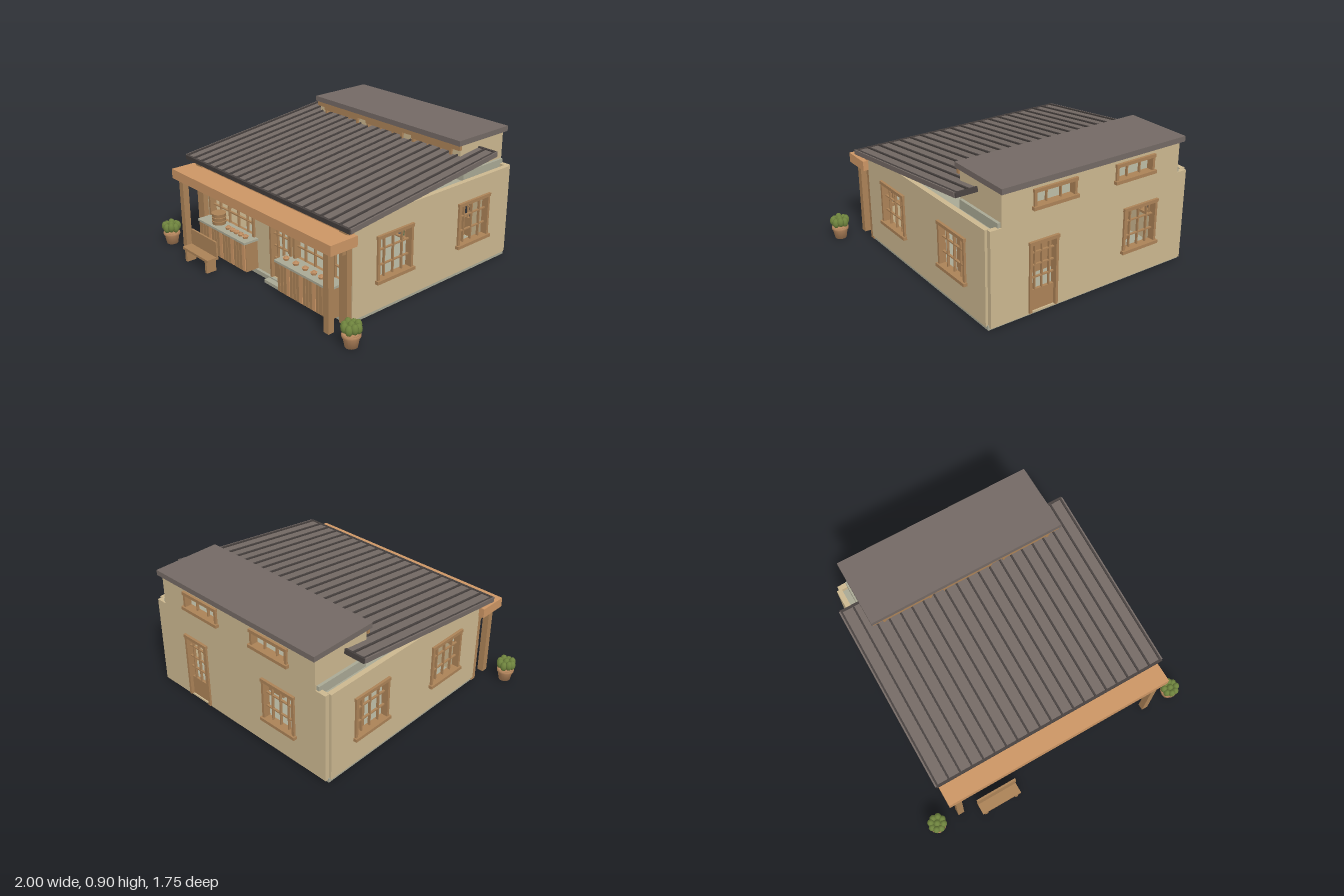
import * as THREE from 'three';

const mat = (name, color) => Object.assign(new THREE.MeshStandardMaterial({ color }), { name });
const M = {
  plaster: mat('plaster', 0xcbb78f),
  stone: mat('stone', 0xa9a894),
  wood: mat('wood', 0xab8257),
  beam: mat('lightWood', 0xcb9564),
  roof: mat('roofMetal', 0x736964),
  seam: mat('roofSeam', 0x47413f),
  clay: mat('terracotta', 0xba8a60),
  leaf: mat('leaf', 0x6f843e),
  green: mat('greenGlass', 0x5f7350),
  slate: mat('slateGlass', 0x5a6068),
};

function add(parent, name, geometry, material) {
  const mesh = new THREE.Mesh(geometry, material);
  mesh.name = name;
  parent.add(mesh);
  return mesh;
}

// Box given by its two extremes on each axis
function box(parent, name, material, x0, x1, y0, y1, z0, z1) {
  const mesh = add(parent, name, new THREE.BoxGeometry(x1 - x0, y1 - y0, z1 - z0), material);
  mesh.position.set((x0 + x1) / 2, (y0 + y1) / 2, (z0 + z1) / 2);
  return mesh;
}

function group(parent, name, x = 0, y = 0, z = 0) {
  const g = new THREE.Group();
  g.name = name;
  g.position.set(x, y, z);
  parent.add(g);
  return g;
}

// Frame, bars and sill or door panel around an opening; outer wall face is z = 0
function joinery(parent, { u0, u1, y0, y1, cols, rows, door }) {
  const g = group(parent, door ? 'door' : 'window');
  const f = 0.018;
  for (const [a, b] of [[u0, u0 + f], [u1 - f, u1]]) box(g, 'jamb', M.wood, a, b, y0, y1, -0.035, 0.014);
  box(g, 'head', M.wood, u0 - 0.004, u1 + 0.004, y1 - f, y1 + 0.004, -0.035, 0.018);
  if (door) box(g, 'doorPanel', M.wood, u0 + f, u1 - f, y0, y0 + 0.14, -0.03, -0.01);
  else box(g, 'sill', M.wood, u0 - 0.01, u1 + 0.01, y0 - 0.004, y0 + f, -0.035, 0.026);
  const low = door ? y0 + 0.14 : y0;
  for (let i = 1; i < cols; i++) {
    const u = u0 + (u1 - u0) * i / cols;
    box(g, 'verticalBar', M.wood, u - 0.004, u + 0.004, low, y1, -0.025, -0.008);
  }
  for (let i = 1; i < rows; i++) {
    const y = low + (y1 - low) * i / rows;
    box(g, 'crossBar', M.wood, u0, u1, y - 0.004, y + 0.004, -0.024, -0.009);
  }
}

// Plaster wall with openings cut out and fitted
function wall(parent, name, u0, u1, y0, y1, openings) {
  const g = group(parent, name);
  const rect = (C, a, b, c, d) => new C([[a, c], [b, c], [b, d], [a, d]].map(p => new THREE.Vector2(...p)));
  const shape = rect(THREE.Shape, u0, u1, y0, y1);
  for (const o of openings) {
    shape.holes.push(rect(THREE.Path, o.u0, o.u1, o.y0, o.y1));
    joinery(g, o);
  }
  const geo = new THREE.ExtrudeGeometry(shape, { depth: 0.035, bevelEnabled: false });
  add(g, 'plasterWall', geo.translate(0, 0, -0.035), M.plaster);
  return g;
}

function buildWalls(b) {
  box(b, 'baseSlab', M.stone, -0.765, 0.765, 0, 0.03, -0.825, 0.62);
  box(b, 'ceiling', M.stone, -0.745, 0.745, 0.6, 0.62, -0.82, 0.57);
  wall(b, 'frontWall', -0.765, 0.765, 0.02, 0.64, [
    { u0: -0.67, u1: -0.16, y0: 0.23, y1: 0.53, cols: 5, rows: 3 },
    { u0: 0.006, u1: 0.225, y0: 0.031, y1: 0.51, cols: 4, rows: 4, door: true },
    { u0: 0.245, u1: 0.7, y0: 0.23, y1: 0.53, cols: 5, rows: 3 },
  ]).position.z = 0.6;
  const back = wall(b, 'backWall', -0.758, 0.758, 0.02, 0.65, [
    { u0: -0.49, u1: -0.28, y0: 0.031, y1: 0.5, cols: 4, rows: 4, door: true },
    { u0: 0.235, u1: 0.51, y0: 0.21, y1: 0.515, cols: 4, rows: 3 },
  ]);
  back.rotation.y = Math.PI;
  back.position.z = -0.845;
  for (const s of [1, -1]) {
    // Along each side wall the local axis runs opposite ways
    const flip = (a, c) => (s > 0 ? [-c, -a] : [a, c]);
    const openings = [[0.105, 0.405], [-0.615, -0.315]].map(([a, c]) => {
      const [u0, u1] = flip(a, c);
      return { u0, u1, y0: 0.21, y1: 0.515, cols: 4, rows: 3 };
    });
    const side = wall(b, s > 0 ? 'leftWall' : 'rightWall', ...flip(-0.815, 0.6), 0.025, 0.652, openings);
    side.rotation.y = s * Math.PI / 2;
    side.position.x = s * 0.775;
  }
}

function buildRoof(b) {
  // Sloping seamed roof
  const r = group(b, 'slopingRoof', 0, 0.725, 0.033);
  r.rotation.x = 0.122;
  const L = 0.638, W = 0.828;
  box(r, 'roofSheet', M.roof, -W, W, -0.012, 0.008, -L, L);
  for (let i = 0; i <= 20; i++) {
    const x = -0.82 + i * 0.082;
    box(r, 'standingSeam', M.seam, x - 0.006, x + 0.006, 0.008, 0.018, -L, L);
  }
  for (const s of [-1, 1]) {
    box(r, 'endTrim', M.seam, -W - 0.002, W + 0.002, -0.018, 0.014, s * L - 0.008, s * L + 0.008);
    box(r, 'sideTrim', M.roof, s * W - 0.008, s * W + 0.008, -0.016, 0.016, -L, L);
  }
  // Raised back room under a flat roof
  const c = group(b, 'clerestory');
  box(c, 'clerestoryBase', M.stone, -0.7, 0.7, 0.62, 0.68, -0.835, -0.44);
  const front = [-0.44, 0, 0.44].map(x => (
    { u0: x - 0.175, u1: x + 0.175, y0: 0.69, y1: 0.83, cols: 3, rows: 1 }));
  wall(c, 'clerestoryFront', -0.68, 0.68, 0.65, 0.868, front).position.z = -0.42;
  box(c, 'eaveBeam', M.wood, -0.69, 0.69, 0.832, 0.866, -0.42, -0.4);
  const back = wall(c, 'clerestoryBack', -0.68, 0.68, 0.65, 0.868, [-0.307, 0.307].map(x => (
    { u0: x - 0.155, u1: x + 0.155, y0: 0.71, y1: 0.83, cols: 3, rows: 1 })));
  back.rotation.y = Math.PI;
  back.position.z = -0.845;
  for (const s of [-1, 1]) {
    box(c, 'clerestorySide', M.plaster, s * 0.6625 - 0.0175, s * 0.6625 + 0.0175, 0.65, 0.868, -0.844, -0.42);
  }
  box(c, 'flatRoof', M.roof, -0.699, 0.697, 0.866, 0.902, -0.872, -0.39);
}

function buildPorch(b) {
  box(b, 'porchBeam', M.beam, -0.815, 0.813, 0.527, 0.594, 0.595, 0.8);
  box(b, 'wallPlate', M.beam, -0.77, 0.78, 0.594, 0.622, 0.59, 0.63);
  for (const s of [-1, 1]) {
    const x = s * 0.745;
    box(b, 'porchPost', M.wood, x - 0.022, x + 0.022, 0, 0.53, 0.735, 0.779);
    box(b, 'wallPost', M.wood, s * 0.735 - 0.035, s * 0.735 + 0.035, 0, 0.64, 0.595, 0.637);
    box(b, 'postBracket', M.wood, x - 0.015, x + 0.015, 0.47, 0.53, 0.637, 0.665);
  }
  box(b, 'doorStep', M.stone, 0.0, 0.24, 0, 0.022, 0.6, 0.66);
}

function buildCounter(b, x0, x1, bowls) {
  const g = group(b, 'counter');
  box(g, 'counterBody', M.wood, x0 + 0.012, x1 - 0.012, 0.03, 0.235, 0.6, 0.695);
  box(g, 'counterTop', M.stone, x0, x1, 0.235, 0.25, 0.59, 0.715);
  const n = 16, step = (x1 - x0 - 0.03) / n;
  for (let i = 0; i < n; i++) {
    const x = x0 + 0.015 + i * step;
    box(g, 'slat', i % 4 === 3 ? M.beam : M.wood, x + 0.003, x + step - 0.003, 0.035, 0.23, 0.69, 0.703);
  }
  for (const x of bowls) {
    add(g, 'bowl', new THREE.CylinderGeometry(0.022, 0.016, 0.016, 10), M.beam).position.set(x, 0.258, 0.66);
    add(g, 'bowlLid', new THREE.CylinderGeometry(0.008, 0.016, 0.01, 10), M.clay).position.set(x, 0.271, 0.66);
  }
}

function buildShelves(b, x0, x1) {
  const g = group(b, 'shelves');
  box(g, 'shelfBack', M.wood, x0, x1, 0.03, 0.455, -0.47, -0.46);
  for (const x of [x0, x1]) box(g, 'shelfSide', M.wood, x - 0.008, x + 0.008, 0.03, 0.455, -0.47, -0.39);
  const glass = [M.green, M.slate, M.clay, M.slate, M.green];
  for (const y of [0.06, 0.18, 0.31, 0.445]) {
    box(g, 'shelfBoard', M.wood, x0, x1, y, y + 0.01, -0.47, -0.39);
    if (y > 0.4) continue;
    const n = Math.floor((x1 - x0) / 0.032);
    for (let i = 1; i < n; i++) {
      const h = 0.04 + ((i * 7) % 4) * 0.007;
      add(g, 'bottle', new THREE.CylinderGeometry(0.008, 0.01, h, 8), glass[(i * 3 + Math.floor(i / 4)) % 5])
        .position.set(x0 + i * (x1 - x0) / n, y + 0.01 + h / 2, -0.42);
    }
  }
}

function buildBench(b) {
  const g = group(b, 'bench', -0.478);
  box(g, 'benchSeat', M.wood, -0.147, 0.147, 0.085, 0.102, 0.785, 0.873);
  box(g, 'benchBack', M.wood, -0.147, 0.147, 0.1, 0.212, 0.787, 0.8);
  for (const s of [-1, 1]) box(g, 'benchLeg', M.wood, s * 0.118 - 0.011, s * 0.118 + 0.011, 0, 0.086, 0.795, 0.868);
}

function buildPot(parent, x, z, turn) {
  const g = group(parent, 'pottedPlant', x, 0, z);
  g.rotation.y = turn;
  const profile = [[0, 0], [0.039, 0], [0.052, 0.065], [0.058, 0.067], [0.058, 0.084], [0.05, 0.084], [0.048, 0.076], [0, 0.076]];
  add(g, 'pot', new THREE.LatheGeometry(profile.map(p => new THREE.Vector2(...p)), 16), M.clay);
  const lobe = new THREE.IcosahedronGeometry(1, 1);
  for (let i = 0; i < 9; i++) {
    const a = i * Math.PI / 4, r = i < 8 ? 0.043 : 0;
    const m = add(g, 'leafClump', lobe, M.leaf);
    m.position.set(Math.cos(a) * r, i < 8 ? 0.122 + (i % 2) * 0.008 : 0.13, Math.sin(a) * r);
    m.scale.set(0.024, 0.035, 0.024);
  }
}

export function createModel() {
  const model = new THREE.Group();
  model.name = 'shopHouse';
  const b = group(model, 'building', -0.011);
  buildWalls(b);
  buildRoof(b);
  buildPorch(b);
  buildCounter(b, -0.665, -0.13, [-0.38, -0.335, -0.29, -0.24, -0.19]);
  buildCounter(b, 0.18, 0.7, [0.235, 0.33, 0.42, 0.5, 0.57, 0.64]);
  buildShelves(b, -0.645, -0.18);
  buildShelves(b, 0.0, 0.69);
  buildBench(b);
  // Stacked steamer baskets on the counter
  for (let i = 0; i < 3; i++) {
    add(b, 'basket', new THREE.CylinderGeometry(0.05, 0.046, 0.024, 14), M.wood).position.set(-0.5, 0.264 + i * 0.027, 0.65);
  }
  buildPot(model, -0.933, 0.775, 0.2);
  buildPot(model, 0.933, 0.762, 0.5);
  return model;
}
